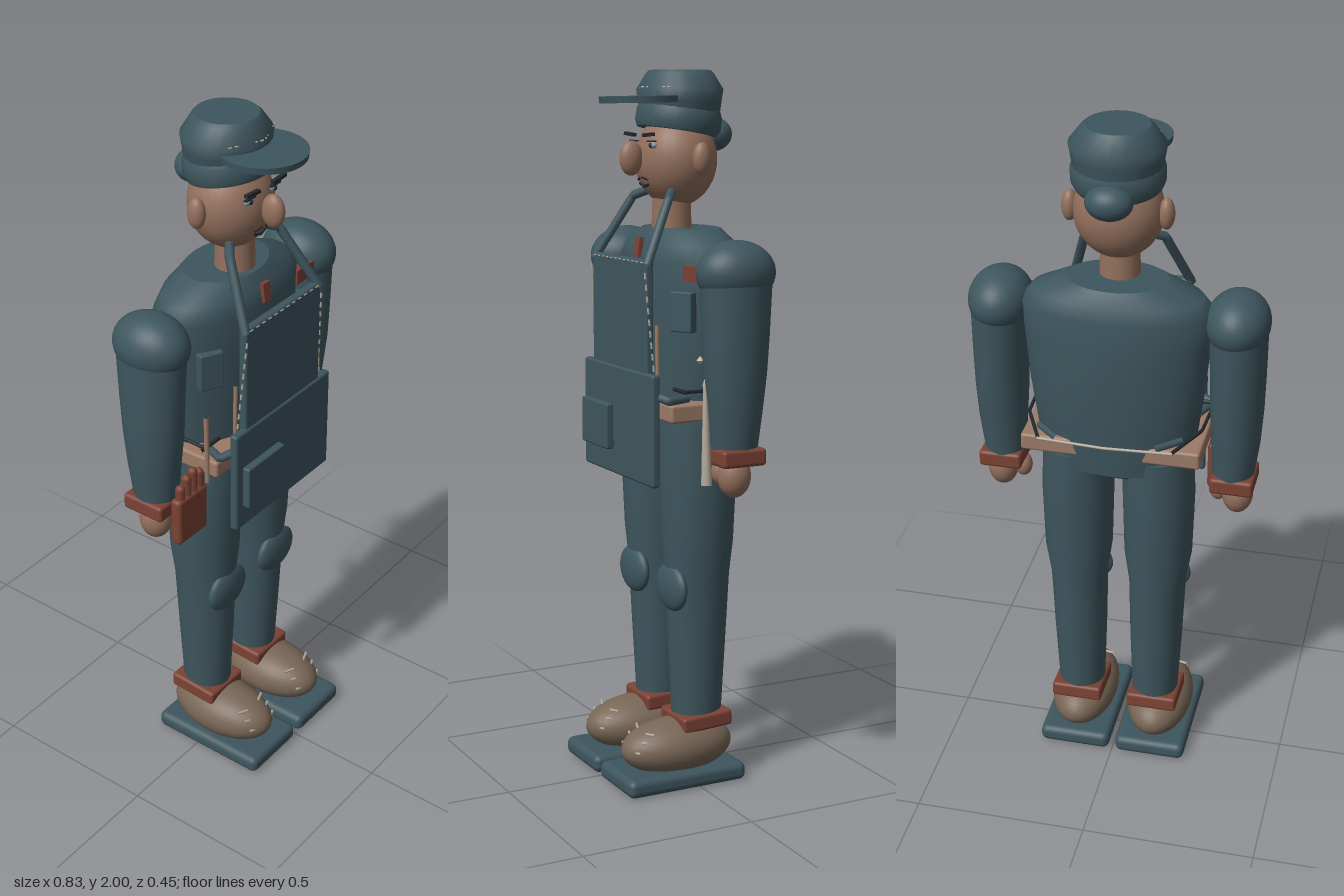
import * as THREE from 'three';
import { RoundedBoxGeometry } from 'three/addons/geometries/RoundedBoxGeometry.js';

const paint = (name, color) => {
  const m = new THREE.MeshStandardMaterial({ color });
  m.name = name;
  return m;
};

// Closed loft through elliptical rings, listed from the bottom up: [y, rx, rz, cx, cz]
function loft(rings, sides = 32) {
  const first = rings[0], last = rings[rings.length - 1];
  const flat = r => [r[0], 0, 0, r[3], r[4]];
  const rows = [flat(first), first, ...rings, last, flat(last)];
  const pos = [], idx = [];
  for (const [y, rx, rz, cx, cz] of rows)
    for (let j = 0; j < sides; j++) {
      const a = (j / sides) * Math.PI * 2;
      pos.push(cx + rx * Math.sin(a), y, cz + rz * Math.cos(a));
    }
  for (let i = 0; i < rows.length - 1; i++)
    for (let j = 0; j < sides; j++) {
      const k = (j + 1) % sides, a = i * sides, b = a + sides;
      idx.push(a + j, a + k, b + k, a + j, b + k, b + j);
    }
  const g = new THREE.BufferGeometry();
  g.setAttribute('position', new THREE.Float32BufferAttribute(pos, 3));
  g.setIndex(idx);
  g.computeVertexNormals();
  return g;
}

export function createModel() {
  const root = new THREE.Group();
  root.name = 'workman';
  const cloth = paint('slate cloth', 0x3e565e);
  const skin = paint('skin', 0x93705d);
  const leather = paint('tan belt leather', 0x9c7a67);
  const shoe = paint('shoe brown', 0x786656);
  const red = paint('rust red', 0x7b4234);
  const pale = paint('pale thread', 0xb3a998);
  const dark = paint('dark line', 0x24282c);
  const eyeBlue = paint('eye blue', 0x7b96a6);

  const add = (name, geo, mat, x = 0, y = 0, z = 0) => {
    const m = new THREE.Mesh(geo, mat);
    m.name = name;
    m.position.set(x, y, z);
    root.add(m);
    return m;
  };
  const ball = (name, mat, x, y, z, rx, ry, rz) => {
    const m = add(name, new THREE.SphereGeometry(1, 32, 20), mat, x, y, z);
    m.scale.set(rx, ry, rz);
    return m;
  };
  const box = (name, mat, x, y, z, w, h, d, r = 0) =>
    add(name, r ? new RoundedBoxGeometry(w, h, d, 3, r) : new THREE.BoxGeometry(w, h, d), mat, x, y, z);
  const rod = (name, mat, r, ...pts) => {
    const path = new THREE.CurvePath();
    const v = pts.map(p => new THREE.Vector3(...p));
    for (let i = 1; i < v.length; i++) path.add(new THREE.LineCurve3(v[i - 1], v[i]));
    return add(name, new THREE.TubeGeometry(path, 24, r, 8, false), mat);
  };
  // Row of short threads from a to b
  const stitches = (name, a, b, n, size = 0.006) => {
    const p = new THREE.Vector3(...a), q = new THREE.Vector3(...b);
    for (let i = 0; i < n; i++)
      rod(name, pale, size / 2, p.clone().lerp(q, (i + 0.2) / n).toArray(), p.clone().lerp(q, (i + 0.75) / n).toArray());
  };

  // Shirt, belt and neck
  add('shirt', loft([
    [1.01, 0.205, 0.122, 0, -0.04], [1.1, 0.225, 0.128, 0, -0.042], [1.25, 0.245, 0.138, 0, -0.045],
    [1.4, 0.258, 0.14, 0, -0.045], [1.49, 0.268, 0.135, 0, -0.045], [1.53, 0.235, 0.125, 0, -0.045],
    [1.57, 0.14, 0.1, 0, -0.045]], 40), cloth);
  box('hips', cloth, 0, 1.01, -0.035, 0.3, 0.08, 0.18, 0.03);
  box('belt', leather, 0, 1.085, -0.02, 0.505, 0.05, 0.27, 0.008);
  add('neck', new THREE.CylinderGeometry(0.052, 0.057, 0.14, 24), skin, 0, 1.61, -0.015);
  box('buttonPlacket', red, 0, 1.518, 0.088, 0.03, 0.055, 0.012).rotation.x = -0.12;
  box('chestLabel', red, 0.235, 1.46, 0.04, 0.08, 0.042, 0.025);

  // Limbs
  for (const s of [-1, 1]) {
    box('sole', cloth, s * 0.116, 0.027, 0.04, 0.212, 0.052, 0.37, 0.02);
    ball('shoe', shoe, s * 0.118, 0.105, 0.03, 0.097, 0.08, 0.17);
    [[0.162, 0.148], [0.142, 0.172], [0.115, 0.192]].forEach(([y, z]) =>
      rod('shoeLace', pale, 0.004, [s * 0.118 - 0.058, y, z - 0.02], [s * 0.118, y - 0.006, z], [s * 0.118 + 0.058, y, z - 0.02]));
    box('trouserCuff', red, s * 0.115, 0.18, -0.036, 0.15, 0.046, 0.156, 0.01).rotation.x = 0.06;
    add('leg', loft([
      [0.19, 0.068, 0.072, s * 0.113, -0.036], [0.4, 0.077, 0.083, s * 0.115, -0.036],
      [0.6, 0.083, 0.093, s * 0.117, -0.036], [0.7, 0.098, 0.102, s * 0.118, -0.036],
      [0.9, 0.103, 0.112, s * 0.118, -0.036], [1.05, 0.1, 0.115, s * 0.115, -0.036]]), cloth);
    ball('kneePatch', cloth, s * 0.118, 0.57, 0.045, 0.082, 0.068, 0.026);

    ball('shoulder', cloth, s * 0.328, 1.468, -0.037, 0.088, 0.087, 0.112);
    add('sleeve', loft([
      [0.98, 0.058, 0.063, s * 0.328, -0.035], [1.1, 0.068, 0.076, s * 0.333, -0.035],
      [1.2, 0.074, 0.088, s * 0.333, -0.035], [1.3, 0.076, 0.094, s * 0.333, -0.036],
      [1.45, 0.08, 0.102, s * 0.33, -0.037]]), cloth);
    box('sleeveCuff', red, s * 0.332, 0.977, -0.035, 0.122, 0.048, 0.132, 0.01);
    ball('hand', skin, s * 0.342, 0.923, -0.028, 0.044, 0.06, 0.046);
    ball('thumb', skin, s * 0.285, 0.925, -0.018, 0.026, 0.036, 0.026);
    box('shirtPocket', cloth, s * 0.195, 1.355, 0.05, 0.07, 0.11, 0.03, 0.005).rotation.y = s * 0.45;

    // Apron neck strap, waist ties and bib seams
    rod('neckStrap', cloth, 0.013, [s * 0.165, 1.48, 0.145], [s * 0.108, 1.655, 0.05], [s * 0.045, 1.685, 0]);
    rod('waistStrap', cloth, 0.012, [s * 0.2, 1.13, 0.135], [s * 0.238, 1.12, 0.115], [s * 0.21, 1.12, 0.045]);
    rod('backStrap', cloth, 0.01, [s * 0.2, 1.14, -0.14], [s * 0.135, 1.14, -0.2]);
    rod('sideTie', dark, 0.006, [s * 0.19, 1.145, 0.075], [s * 0.272, 1.145, 0.075]);
    rod('sideCord', dark, 0.005, [s * 0.252, 1.145, 0.08], [s * 0.245, 1.143, -0.08], [s * 0.185, 1.14, -0.212]);
    stitches('bibSeam', [s * 0.187, 1.19, 0.135], [s * 0.167, 1.47, 0.153], 9);
    rod('bibLacing', leather, 0.006, [s * 0.175, 1.15, 0.118], [s * 0.172, 1.32, 0.118]);
  }
  rod('backTie', pale, 0.004, [-0.188, 1.14, -0.213], [0, 1.14, -0.225], [0.188, 1.14, -0.213]);

  // Apron
  box('apronSkirt', cloth, 0, 1.035, 0.143, 0.435, 0.31, 0.025, 0.008);
  box('apronBib', cloth, 0, 1.335, 0.138, 0.34, 0.32, 0.025, 0.008);
  box('apronPocket', cloth, -0.108, 1.015, 0.166, 0.165, 0.13, 0.024, 0.006);
  stitches('bibTopSeam', [-0.16, 1.488, 0.151], [0.16, 1.488, 0.151], 12, 0.004);

  // Spare glove hanging from the belt
  box('glovePalm', red, -0.303, 0.952, 0.058, 0.125, 0.145, 0.034, 0.012);
  [0.03, 0.05, 0.06, 0.045].forEach((h, i) =>
    add('gloveFinger', new THREE.CapsuleGeometry(0.014, h, 4, 10), red, -0.34 + i * 0.027, 1.02 + h / 2, 0.058));
  rod('gloveLoop', leather, 0.007, [-0.255, 1.04, 0.085], [-0.258, 1.25, 0.085]);

  // Tool in the left hand
  const tool = add('toolBlade', new THREE.CylinderGeometry(0.006, 0.015, 0.27, 12), pale, 0.317, 1.035, 0.045);
  tool.rotation.z = 0.035;
  add('toolTip', new THREE.ConeGeometry(0.008, 0.03, 12), pale, 0.312, 1.183, 0.045);
  add('toolSpark', new THREE.OctahedronGeometry(0.012), pale, 0.292, 1.235, 0.05);

  // Head and face
  ball('head', skin, 0, 1.757, -0.028, 0.122, 0.13, 0.113);
  ball('nose', skin, 0, 1.762, 0.11, 0.024, 0.048, 0.034);
  for (const s of [-1, 1]) {
    ball('ear', skin, s * 0.13, 1.762, -0.04, 0.022, 0.044, 0.026);
    ball('eye', eyeBlue, s * 0.052, 1.797, 0.07, 0.018, 0.009, 0.008);
    ball('pupil', dark, s * 0.052, 1.797, 0.076, 0.007, 0.007, 0.005);
    box('eyelid', dark, s * 0.054, 1.808, 0.075, 0.042, 0.004, 0.009);
    const brow = box('eyebrow', dark, s * 0.057, 1.826, 0.085, 0.055, 0.009, 0.012);
    brow.rotation.z = s * 0.07;
    rod('moustache', dark, 0.003, [s * 0.004, 1.71, 0.079], [s * 0.032, 1.702, 0.072]);
  }
  rod('mouth', dark, 0.004, [-0.03, 1.692, 0.067], [0, 1.684, 0.07], [0.03, 1.692, 0.067]);

  // Cap: band sloping to the back, faceted crown, brim and rear bun
  const band = add('capBand', loft([
    [-0.03, 0.119, 0.11, 0, 0], [-0.012, 0.126, 0.118, 0, 0], [0.02, 0.126, 0.118, 0, 0], [0.04, 0.115, 0.11, 0, 0]]),
    cloth, 0, 1.862, -0.036);
  band.rotation.x = -0.17;
  add('capCrown', loft([
    [1.87, 0.116, 0.108, 0, -0.04], [1.915, 0.124, 0.113, 0, -0.04], [1.948, 0.13, 0.118, 0, -0.04],
    [1.99, 0.098, 0.094, 0, -0.04], [2.0, 0.086, 0.086, 0, -0.04]], 24), cloth);
  const brim = add('capBrim', new THREE.CylinderGeometry(0.12, 0.118, 0.018, 40), cloth, 0, 1.921, 0.075);
  brim.rotation.x = 0.02;
  for (const s of [-1, 1]) stitches('capStitch', [0, 1.953, 0.081], [s * 0.103, 1.953, 0.037], 6, 0.005);
  ball('capBun', cloth, 0, 1.825, -0.143, 0.064, 0.048, 0.052);

  return root;
}
